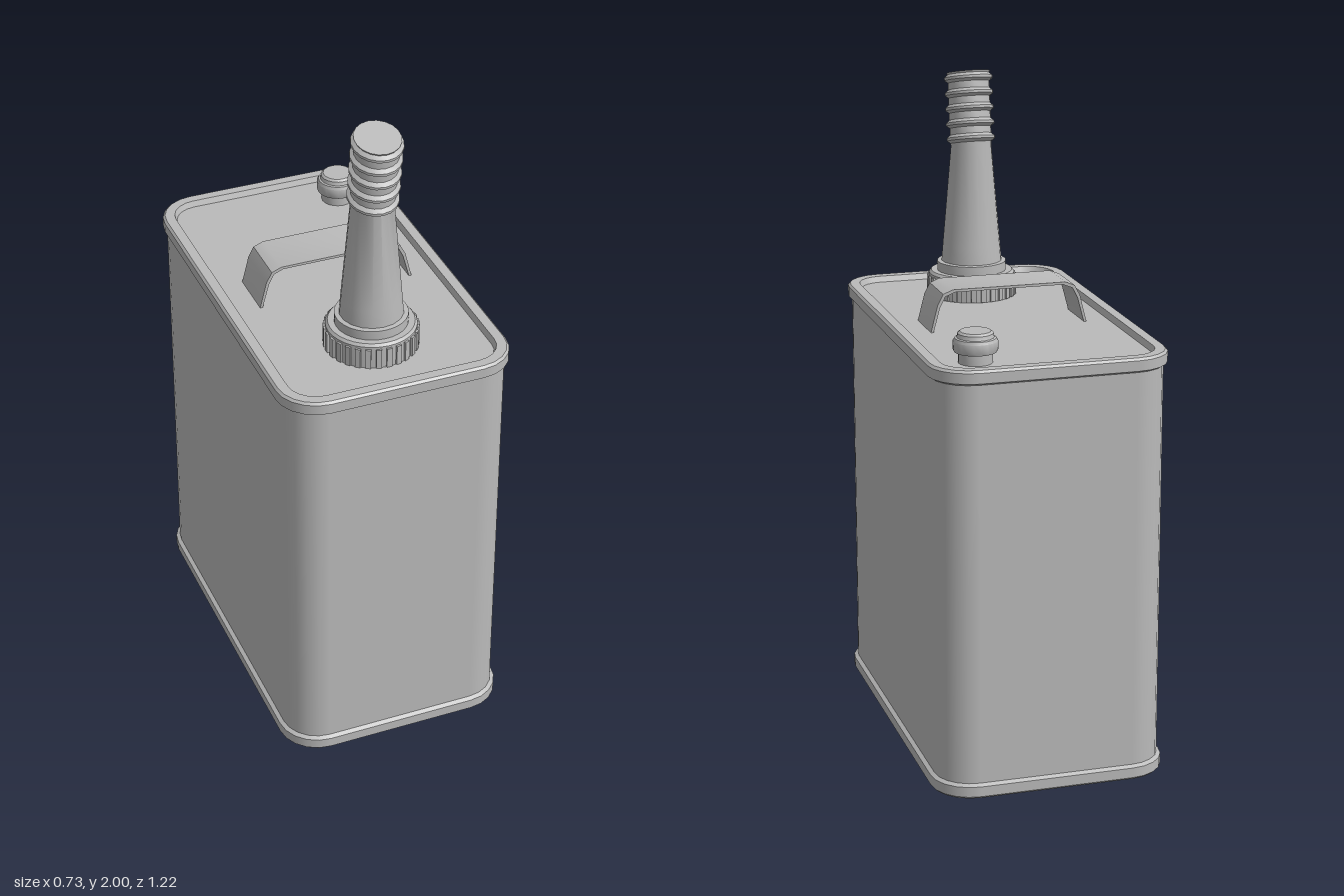
import * as THREE from 'three';
import { toCreasedNormals } from 'three/addons/utils/BufferGeometryUtils.js';

const HX = 0.345, HZ = 0.593, R = 0.11, SEG = 5; // body half sizes, corner radius

// Stacks rounded-rectangle outlines: profile of [offset from body wall, y]; offset null = centre point
function roundedLoft(profile) {
  const ring = [];
  const centres = [[1, 1], [-1, 1], [-1, -1], [1, -1]];
  centres.forEach(([sx, sz], q) => {
    for (let i = 0; i <= SEG; i++) {
      const a = (q + i / SEG) * Math.PI / 2;
      ring.push({ cx: sx * (HX - R), cz: sz * (HZ - R), c: Math.cos(a), s: Math.sin(a) });
    }
  });
  const pos = [], nor = [], idx = [], n = ring.length;
  for (let k = 0; k < profile.length - 1; k++) {
    const [p, q] = [profile[k], profile[k + 1]];
    const out = (q[0] ?? -1) - (p[0] ?? -1), up = q[1] - p[1], len = Math.hypot(out, up);
    const base = pos.length / 3;
    for (const [off, y] of [p, q]) {
      for (let j = 0; j <= n; j++) {
        const r = ring[j % n];
        if (off === null) pos.push(0, y, 0);
        else pos.push(r.cx + r.c * (R + off), y, r.cz + r.s * (R + off));
        nor.push(r.c * up / len, -out / len, r.s * up / len);
      }
    }
    for (let j = 0; j < n; j++) {
      const a = base + j, b = a + n + 1;
      idx.push(a, b, a + 1, a + 1, b, b + 1);
    }
  }
  const g = new THREE.BufferGeometry();
  g.setAttribute('position', new THREE.Float32BufferAttribute(pos, 3));
  g.setAttribute('normal', new THREE.Float32BufferAttribute(nor, 3));
  g.setIndex(idx);
  return g;
}

function lathe(points, segments) {
  return new THREE.LatheGeometry(points.map(([r, y]) => new THREE.Vector2(r, y)), segments);
}

export function createModel() {
  const model = new THREE.Group();
  model.name = 'fuelCan';
  const grey = new THREE.MeshStandardMaterial({ color: 0xbababa });
  grey.name = 'grey metal';

  const add = (parent, name, geometry, x = 0, y = 0, z = 0) => {
    const mesh = new THREE.Mesh(geometry, grey);
    mesh.name = name;
    mesh.position.set(x, y, z);
    parent.add(mesh);
    return mesh;
  };

  // Can body with rolled rims and recessed end panels
  const rim = 0.012;
  add(model, 'canBody', roundedLoft([
    [null, 0.015], [-0.025, 0.015], [-0.025, 0], [0.005, 0], [rim, 0.007], [rim, 0.038], [0, 0.045],
    [0, 1.26], [rim, 1.267], [rim, 1.298], [0.005, 1.305], [-0.025, 1.305], [-0.032, 1.287], [null, 1.287],
  ]));

  // Strap handle bent from sheet metal
  const strap = [[-0.245, 1.28], [-0.222, 1.37], [-0.205, 1.402], [-0.175, 1.414],
    [0.175, 1.414], [0.205, 1.402], [0.222, 1.37], [0.245, 1.28]];
  const outline = new THREE.Shape([
    ...strap.map(([x, y]) => new THREE.Vector2(x, y)),
    ...strap.map(([x, y]) => new THREE.Vector2(x * 0.967, y - (y > 1.3 ? 0.008 : 0))).reverse(),
  ]);
  const handle = new THREE.ExtrudeGeometry(outline, { depth: 0.155, bevelEnabled: false });
  add(model, 'handle', toCreasedNormals(handle, 0.6), 0, 0, -0.098);

  // Small vent cap
  add(model, 'ventCap', toCreasedNormals(lathe([
    [0.05, 1.28], [0.05, 1.32], [0.062, 1.32], [0.065, 1.326], [0.065, 1.352],
    [0.06, 1.36], [0.054, 1.362], [0.052, 1.374], [0.045, 1.38], [0, 1.38],
  ], 20), 0.6), 0.205, 0, -0.447);

  // Spout assembly
  const spout = new THREE.Group();
  spout.name = 'spout';
  spout.position.set(-0.007, 0, 0.343);
  model.add(spout);

  // Screw collar with grip ribs
  add(spout, 'collar', toCreasedNormals(lathe([
    [0.134, 1.28], [0.134, 1.358], [0.127, 1.366], [0.108, 1.366], [0.108, 1.395], [0.09, 1.397],
  ], 32), 0.6));
  const ribs = 28, ribGeometry = new THREE.BoxGeometry(0.016, 0.062, 0.012);
  for (let i = 0; i < ribs; i++) {
    const a = i / ribs * Math.PI * 2;
    const rib = add(spout, 'collarRib', ribGeometry, Math.sin(a) * 0.134, 1.32, Math.cos(a) * 0.134);
    rib.rotation.y = a;
  }

  // Tapered neck and ribbed tip
  const profile = [[0.095, 1.39], [0.09, 1.45], [0.063, 1.76]];
  for (let i = 0; i < 5; i++) {
    const y = 1.768 + i * 0.046;
    profile.push([0.064, y], [0.075, y + 0.008], [0.075, y + 0.016], [0.065, y + 0.025]);
  }
  profile.push([0.068, 1.983], [0, 1.983]);
  const neck = lathe(profile, 18);
  // Lean the tip forward, tilting its rings
  const p = neck.attributes.position;
  for (let i = 0; i < p.count; i++) {
    const y = p.getY(i), z = p.getZ(i);
    const bend = THREE.MathUtils.clamp((y - 1.74) / 0.03, 0, 1);
    p.setY(i, y - 0.25 * z * bend);
    p.setZ(i, z + 0.14 * Math.max(0, y - 1.76));
  }
  add(spout, 'neck', toCreasedNormals(neck, 0.6));

  model.rotation.y = -0.012;
  return model;
}
